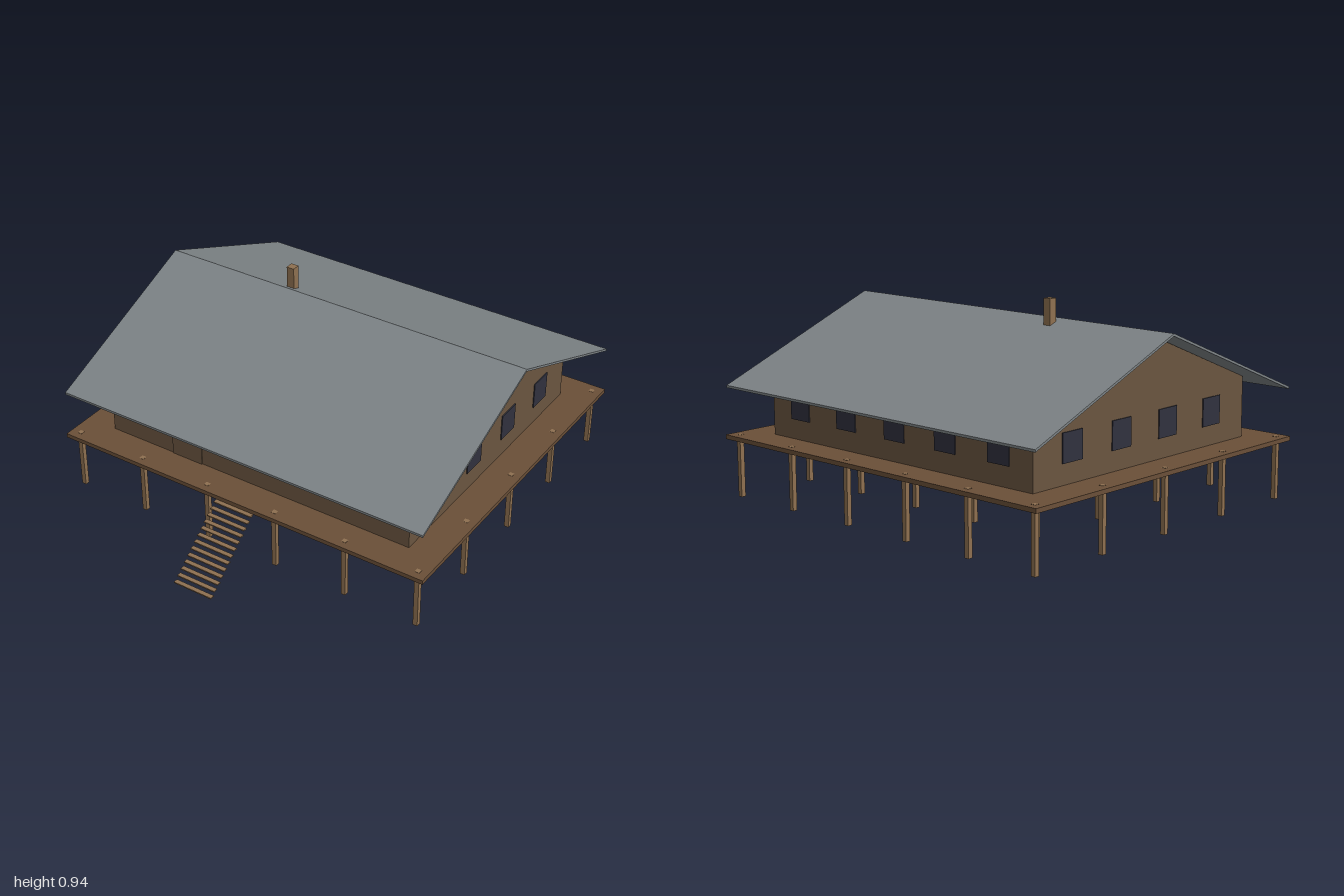
import * as THREE from 'three';

const material = (name, color) => {
  const m = new THREE.MeshStandardMaterial({ color });
  m.name = name;
  return m;
};

export function createModel() {
  const house = new THREE.Group();
  house.name = 'stiltHouse';

  const wallBrown = material('wallBrown', 0x6a5540);
  const deckBrown = material('deckBrown', 0x6a4f38);
  const timber = material('timber', 0x8e7050);
  const slate = material('slateGrey', 0x7d8386);
  const glass = material('darkGlass', 0x30313e);

  const midZ = -0.158; // centre of deck, walls and ridge

  function add(name, geometry, mat, x = 0, y = 0, z = 0, parent = house) {
    const mesh = new THREE.Mesh(geometry, mat);
    mesh.name = name;
    mesh.position.set(x, y, z);
    parent.add(mesh);
    return mesh;
  }
  function group(name) {
    const g = new THREE.Group();
    g.name = name;
    house.add(g);
    return g;
  }
  const box = (w, h, d) => new THREE.BoxGeometry(w, h, d);

  // Extrudes a z-y outline along x, centred on x = 0
  function extrudeAlongX(points, width) {
    const shape = new THREE.Shape(points.map(([z, y]) => new THREE.Vector2(z, y)));
    const g = new THREE.ExtrudeGeometry(shape, { depth: width, bevelEnabled: false });
    return g.rotateY(-Math.PI / 2).translate(width / 2, 0, 0);
  }

  // Deck on a grid of posts
  add('deck', box(1.88, 0.02, 1.68), deckBrown, 0, 0.275, midZ);
  const posts = group('posts');
  const postGeometry = box(0.022, 0.286, 0.022);
  for (let i = 0; i < 6; i++) {
    for (let j = 0; j < 5; j++) {
      add('post', postGeometry, timber, -0.893 + i * 0.3572, 0.143, midZ - 0.795 + j * 0.3975, posts);
    }
  }

  // Walls with gables
  const halfX = 0.783, halfZ = 0.687;
  add('walls', extrudeAlongX([
    [-halfZ, 0.285], [halfZ, 0.285], [halfZ, 0.558], [0, 0.836], [-halfZ, 0.558],
  ], halfX * 2), wallBrown, 0, 0, midZ);

  // Pitched roof, a thin folded sheet
  const eave = 0.834, sheet = 0.011;
  add('roof', extrudeAlongX([
    [-eave, 0.51 - sheet], [0, 0.849 - sheet], [eave, 0.51 - sheet],
    [eave, 0.51], [0, 0.849], [-eave, 0.51],
  ], 1.86), slate, 0, 0, midZ);

  // Chimney
  add('chimney', box(0.038, 0.14, 0.038), timber, -0.296, 0.868, -0.206);

  // Windows: thin plates on all four walls
  const windows = group('windows');
  const longPane = box(0.12, 0.126, 0.009);
  const gablePane = box(0.009, 0.126, 0.12);
  const paneY = 0.437;
  for (const x of [-0.605, -0.123, 0.119, 0.361, 0.603]) {
    add('frontWindow', longPane, glass, x, paneY, midZ + halfZ, windows);
  }
  for (let i = -2; i <= 2; i++) {
    add('backWindow', longPane, glass, i * 0.3, paneY, midZ - halfZ, windows);
  }
  for (const side of [-1, 1]) {
    for (let i = 0; i < 4; i++) {
      add('gableWindow', gablePane, glass, side * halfX, paneY, midZ + (i - 1.5) * 0.304, windows);
    }
  }

  // Front door
  add('door', box(0.16, 0.21, 0.009), wallBrown, -0.365, 0.39, midZ + halfZ);

  // Open stairs down from the front edge
  const stairs = group('stairs');
  const treads = 13;
  const treadGeometry = box(0.196, 0.006, 0.021);
  for (let i = 0; i < treads; i++) {
    const t = i / (treads - 1);
    add('tread', treadGeometry, timber, 0, 0.262 - t * 0.242, 0.692 + t * 0.298, stairs);
  }

  return house;
}
